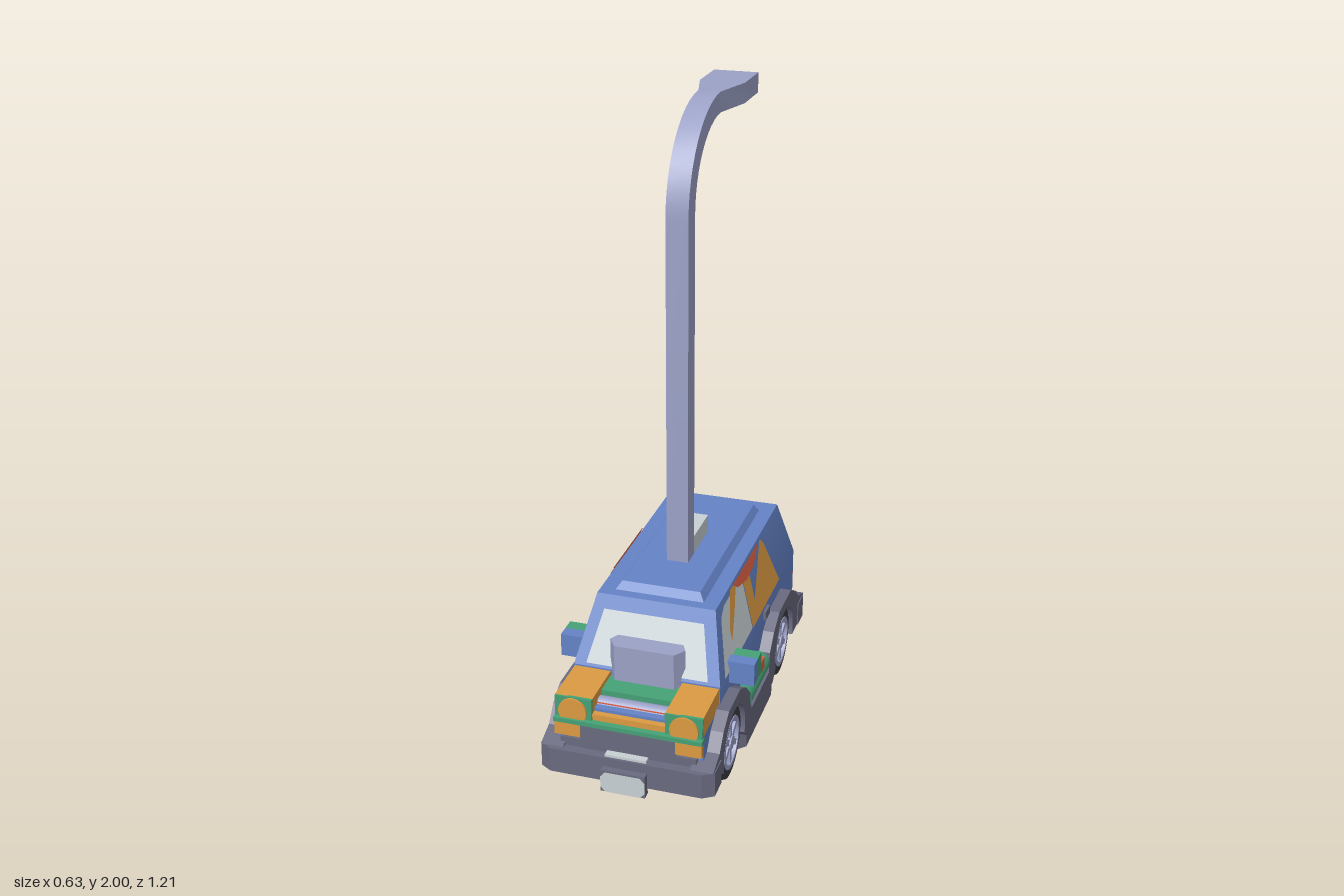
import * as THREE from 'three';
import { toCreasedNormals } from 'three/addons/utils/BufferGeometryUtils.js';

const mat = (name, color) => {
  const m = new THREE.MeshStandardMaterial({ color });
  m.name = name;
  return m;
};

export function createModel() {
  const root = new THREE.Group();
  root.name = 'vanWithLampPole';
  const blue = mat('blue paint', 0x6482c6), grey = mat('grey trim', 0x6a6a80), lavender = mat('lavender metal', 0x9ba1c6),
    pale = mat('pale glass', 0xc8d0d4), green = mat('green paint', 0x45a176), orange = mat('orange paint', 0xdb9a42),
    red = mat('red paint', 0xdb6044), black = mat('tyre black', 0x3c3c44);
  // Painted panels are open surfaces
  for (const m of [pale, green, orange, red, blue]) m.side = THREE.DoubleSide;

  const add = (name, geo, m, parent = root) => {
    const mesh = new THREE.Mesh(geo, m);
    mesh.name = name;
    parent.add(mesh);
    return mesh;
  };
  // Box given by its limits
  const box = (name, m, x0, x1, y0, y1, z0, z1, parent) => {
    const g = new THREE.BoxGeometry(x1 - x0, y1 - y0, z1 - z0);
    g.translate((x0 + x1) / 2, (y0 + y1) / 2, (z0 + z1) / 2);
    return add(name, g, m, parent);
  };
  // Skin over four-cornered rings, capped at both ends
  const loft = (rings, crease = 0.4) => {
    const pos = rings.flat(2), idx = [], n = rings.length;
    for (let i = 0; i < n - 1; i++) for (let k = 0; k < 4; k++) {
      const a = i * 4 + k, b = i * 4 + (k + 1) % 4;
      idx.push(a, b, b + 4, a, b + 4, a + 4);
    }
    const t = (n - 1) * 4;
    idx.push(0, 2, 1, 0, 3, 2, t, t + 1, t + 2, t, t + 2, t + 3);
    const g = new THREE.BufferGeometry();
    g.setAttribute('position', new THREE.Float32BufferAttribute(pos, 3));
    g.setIndex(idx);
    return toCreasedNormals(g, crease);
  };
  // Levels of [y, half width, front z, back z]
  const tapered = levels => loft(levels.map(([y, w, f, b]) => [[-w, y, b], [-w, y, f], [w, y, f], [w, y, b]]));
  // Plan outline of [x, z] points raised from y0 to y1
  const plan = (pts, y0, y1) => {
    const s = new THREE.Shape(pts.map(([x, z]) => new THREE.Vector2(x, -z)));
    return new THREE.ExtrudeGeometry(s, { depth: y1 - y0, bevelEnabled: false }).rotateX(-Math.PI / 2).translate(0, y0, 0);
  };
  // Flat painted outline laid on a face by a mapping rule
  const panel = (name, m, pts, place) => {
    const g = new THREE.ShapeGeometry(new THREE.Shape(pts.map(p => new THREE.Vector2(...p))));
    const p = g.attributes.position;
    for (let i = 0; i < p.count; i++) p.setXYZ(i, ...place(p.getX(i), p.getY(i)));
    g.computeVertexNormals();
    return add(name, g, m);
  };

  // Body shell and roof plate
  add('body', tapered([[0.19, 0.235, 0.37, -0.56], [0.345, 0.235, 0.37, -0.56], [0.55, 0.19, 0.27, -0.487]]), blue);
  add('roofPlate', tapered([[0.55, 0.142, 0.235, -0.425], [0.575, 0.126, 0.218, -0.412]]), blue);
  box('roofBox', pale, -0.034, 0.034, 0.57, 0.635, -0.178, -0.018);

  // Windows
  const rise = y => Math.max(0, (y - 0.345) / 0.205);
  panel('windscreen', pale, [[-0.195, 0.355], [0.195, 0.355], [0.16, 0.51], [-0.16, 0.51]],
    (x, y) => [x, y, 0.373 - 0.1 * rise(y)]);
  panel('rearWindow', pale, [[-0.17, 0.375], [0.17, 0.375], [0.183, 0.41], [0.15, 0.51], [-0.15, 0.51], [-0.183, 0.41]],
    (x, y) => [x, y, -0.563 + 0.073 * rise(y)]);

  // Side windows and patches, as [z, y]
  for (const s of [1, -1]) {
    const on = e => (z, y) => [s * (0.235 - 0.045 * rise(y) + e), y, z];
    panel('sideWindow', pale, [[0.32, 0.345], [0.245, 0.51], [0.2, 0.53], [0, 0.53], [0, 0.345]], on(0.002));
    panel('sideSash', orange, [[0.2, 0.41], [0.2, 0.45], [0.13, 0.545], [0.06, 0.545], [0.13, 0.47]], on(0.004));
    panel('sidePatch', orange, s > 0
      ? [[0, 0.345], [0, 0.515], [-0.07, 0.5], [-0.07, 0.41], [-0.2, 0.52], [-0.23, 0.545], [-0.26, 0.52], [-0.34, 0.345]]
      : [[0, 0.345], [0, 0.52], [-0.08, 0.5], [-0.08, 0.4], [-0.3, 0.37], [-0.34, 0.345]], on(0.004));
    panel('sideCrest', red, [[0.1, 0.547], [0.06, 0.52], [-0.03, 0.5], [-0.12, 0.505], [-0.2, 0.547]], on(0.006));
  }
  // Rear stripes
  for (const s of [1, -1]) {
    const on = (x, y) => [s * x, y, -0.563];
    panel('rearStripe', red, [[0.08, 0.25], [0.235, 0.25], [0.235, 0.285], [0.08, 0.285]], on);
    panel('rearStripe', orange, [[0.08, 0.285], [0.15, 0.285], [0.12, 0.31], [0.08, 0.31]], on);
  }
  box('fuelCap', grey, 0.23, 0.245, 0.295, 0.325, -0.195, -0.145);

  // Nose: bonnet corners, lamps, stepped centre and grille
  box('nose', blue, -0.232, 0.232, 0.19, 0.275, 0.36, 0.535);
  for (const s of [1, -1]) {
    const side = new THREE.Group();
    side.name = s > 0 ? 'leftNose' : 'rightNose';
    root.add(side);
    const b = (name, m, a, c, ...r) => box(name, m, Math.min(s * a, s * c), Math.max(s * a, s * c), ...r, side);
    b('bonnetCorner', orange, 0.115, 0.232, 0.275, 0.34, 0.36, 0.54);
    b('lampSurround', green, 0.115, 0.232, 0.265, 0.34, 0.535, 0.545);
    b('lowerLamp', orange, 0.15, 0.232, 0.21, 0.256, 0.5, 0.555);
    const lamp = add('headlamp', new THREE.CylinderGeometry(0.045, 0.045, 0.008, 20).rotateX(Math.PI / 2), orange, side);
    lamp.position.set(s * 0.175, 0.293, 0.548);
    // Three-block mirror
    b('mirrorFront', blue, 0.225, 0.315, 0.305, 0.38, 0.23, 0.272);
    b('mirrorMiddle', green, 0.235, 0.315, 0.305, 0.38, 0.188, 0.23);
    b('mirrorBack', red, 0.235, 0.315, 0.3, 0.34, 0.147, 0.188);
  }
  box('noseBar', green, -0.234, 0.234, 0.256, 0.27, 0.53, 0.56);
  box('bonnetCentre', green, -0.115, 0.115, 0.25, 0.325, 0.36, 0.456);
  add('bonnetRoll', new THREE.CylinderGeometry(0.025, 0.025, 0.23, 16).rotateZ(Math.PI / 2), lavender).position.set(0, 0.29, 0.475);
  box('bonnetStep', blue, -0.115, 0.115, 0.26, 0.3, 0.49, 0.52);
  box('bonnetLip', orange, -0.115, 0.115, 0.26, 0.29, 0.52, 0.54);
  box('bonnetLine', red, -0.115, 0.115, 0.3, 0.306, 0.488, 0.496);
  box('grille', grey, -0.15, 0.15, 0.16, 0.256, 0.5, 0.552);
  add('bonnetScoop', plan([[-0.12, 0.355], [-0.095, 0.392], [0.095, 0.392], [0.12, 0.355], [0.105, 0.325], [-0.105, 0.325]], 0.3, 0.445), lavender);

  // Chassis, floor and underside patch
  box('chassis', grey, -0.215, 0.215, 0.075, 0.2, -0.56, 0.55);
  add('floorBlock', plan([[-0.265, 0.16], [-0.225, 0.2], [0.225, 0.2], [0.265, 0.16], [0.265, -0.16], [0.225, -0.2], [-0.225, -0.2], [-0.265, -0.16]], 0.003, 0.07), grey);
  box('floorPatch', green, -0.17, 0.17, 0, 0.004, -0.16, 0.16);

  // Skirts with wheel arches, as [z, y]
  const wheelZ = [0.33, -0.3], wheelY = 0.128;
  const skirt = new THREE.Shape();
  skirt.moveTo(0.57, 0.09);
  for (const z of wheelZ) {
    skirt.absarc(z, wheelY, 0.122, -0.3, Math.PI + 0.3, false);
    if (z > 0) skirt.lineTo(0.18, 0.06).lineTo(-0.15, 0.06);
  }
  for (const p of [[-0.57, 0.09], [-0.57, 0.175], [-0.5, 0.2], [-0.45, 0.245], [-0.38, 0.287], [-0.22, 0.287], [-0.15, 0.25],
    [-0.1, 0.2], [-0.09, 0.13], [0.13, 0.13], [0.15, 0.2], [0.2, 0.25], [0.27, 0.287], [0.4, 0.287], [0.46, 0.25], [0.5, 0.2], [0.57, 0.175]]) skirt.lineTo(...p);
  for (const s of [1, -1]) {
    const g = new THREE.ExtrudeGeometry(skirt, { depth: 0.072, bevelEnabled: false, curveSegments: 20 });
    add('skirt', g.rotateY(-Math.PI / 2).translate(s > 0 ? 0.272 : -0.2, 0, 0), grey);
    const sill = add('sill', new THREE.CylinderGeometry(0.04, 0.04, 0.232, 16).rotateX(Math.PI / 2), green);
    sill.position.set(s * 0.235, 0.17, 0.028);
  }

  // Bumpers with number plates
  for (const s of [1, -1]) {
    const pts = [[-0.275, 0.49], [-0.275, 0.56], [-0.24, 0.582], [0.24, 0.582], [0.275, 0.56], [0.275, 0.49]];
    add('bumper', plan(pts.map(([x, z]) => [x, s * z]), 0.09, 0.172), grey);
    const lo = s > 0 ? 0.575 : -0.603, hi = s > 0 ? 0.603 : -0.575;
    box('plateHolder', grey, -0.07, 0.07, 0.068, 0.142, lo, hi);
    panel('plate', pale, [[-0.07, 0.085], [-0.055, 0.068], [0.055, 0.068], [0.07, 0.085], [0.07, 0.12], [0.055, 0.137], [-0.055, 0.137], [-0.07, 0.12]],
      (x, y) => [x, y, s * 0.605]);
    box('bumperStrip', pale, -0.065, 0.065, 0.168, 0.18, s > 0 ? 0.552 : -0.575, s > 0 ? 0.575 : -0.552);
  }

  // Wheel with its outer face at x = 0
  const wheel = (name, r, width) => {
    const g = new THREE.Group();
    g.name = name;
    root.add(g);
    const turn = pts => toCreasedNormals(new THREE.LatheGeometry(pts.map(p => new THREE.Vector2(...p)), 28).rotateZ(-Math.PI / 2), 0.6);
    add('tyre', turn([[0, -width], [r * 0.82, -width], [r, -width * 0.75], [r, -width * 0.25], [r * 0.9, -0.003],
      [r * 0.68, 0], [r * 0.66, -0.014], [0, -0.014]]), black, g);
    add('rim', turn([[r * 0.69, -0.012], [r * 0.67, 0.002], [r * 0.56, 0.002], [r * 0.54, -0.014]]), lavender, g);
    add('hub', new THREE.CylinderGeometry(r * 0.18, r * 0.2, 0.02, 12).rotateZ(-Math.PI / 2).translate(-0.007, 0, 0), lavender, g);
    for (let i = 0; i < 6; i++) {
      const spoke = new THREE.BoxGeometry(0.012, r * 0.5, r * 0.15).translate(-0.008, r * 0.36, 0);
      add('spoke', spoke.rotateX(i * Math.PI / 3), lavender, g);
    }
    return g;
  };
  for (const z of wheelZ) for (const s of [1, -1]) {
    const w = wheel(z > 0 ? 'frontWheel' : 'rearWheel', 0.127, 0.15);
    w.position.set(s * 0.262, wheelY, z);
    if (s < 0) w.rotation.y = Math.PI;
  }
  const spare = wheel('spareWheel', 0.1, 0.04);
  spare.position.set(0, 0.31, -0.575);
  spare.rotation.y = Math.PI / 2;

  // Lamp pole: upright, curved neck, then widening head
  const section = (zo, yo, zi, yi, w) => [[-w, yi, zi], [-w, yo, zo], [w, yo, zo], [w, yi, zi]];
  const rings = [section(0.05, 0.55, -0.017, 0.55, 0.035)];
  for (let i = 0; i <= 12; i++) {
    const a = i / 12 * Math.PI / 2, c = Math.cos(a), n = Math.sin(a);
    rings.push(section(-0.28 + 0.33 * c, 1.69 + 0.31 * n, -0.28 + 0.263 * c, 1.69 + 0.247 * n, 0.035));
  }
  for (const z of [-0.42, -0.58]) rings.push(section(z, 2, z, 1.937, 0.072));
  add('lampPole', loft(rings), lavender);

  return root;
}
